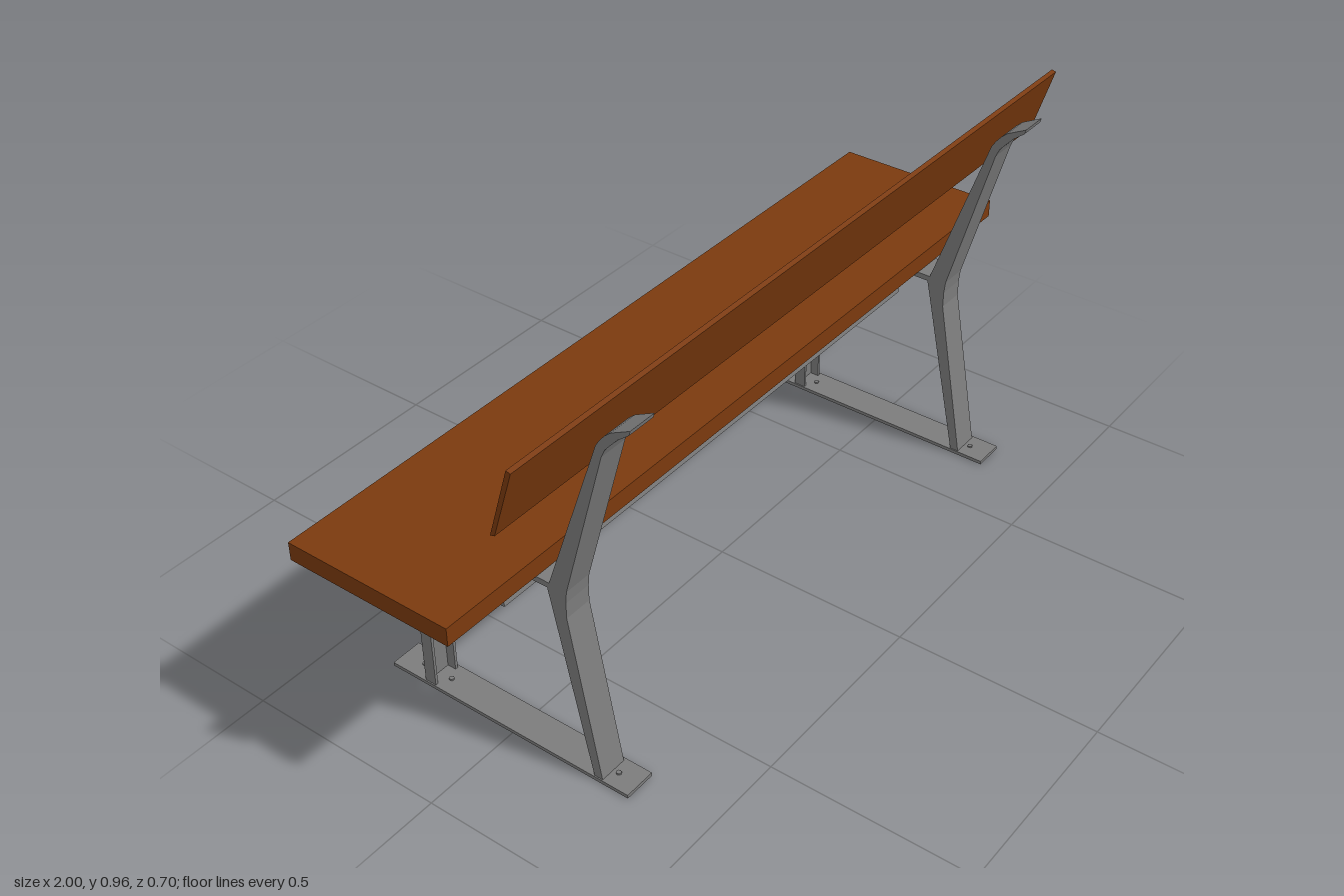
import * as THREE from 'three';

const wood = new THREE.MeshStandardMaterial({ color: 0x7b3a0e });
wood.name = 'brown wood';
const steel = new THREE.MeshStandardMaterial({ color: 0x7c7c7c });
steel.name = 'grey steel';

const WIDTH = 0.07; // width of the leg channels
const WALL = 0.007; // sheet thickness

function add(parent, name, geometry, material) {
  const mesh = new THREE.Mesh(geometry, material);
  mesh.name = name;
  parent.add(mesh);
  return mesh;
}

// Box given by its lower and upper limits on each axis
function box(parent, name, material, [x0, x1], [y0, y1], [z0, z1]) {
  const mesh = add(parent, name, new THREE.BoxGeometry(x1 - x0, y1 - y0, z1 - z0), material);
  mesh.position.set((x0 + x1) / 2, (y0 + y1) / 2, (z0 + z1) / 2);
  return mesh;
}

// Side outline of [z, y] points, extruded from x0 to x1
function sidePlate(parent, name, material, points, x0, x1) {
  const shape = new THREE.Shape(points.map(([z, y]) => new THREE.Vector2(z, y)));
  const geometry = new THREE.ExtrudeGeometry(shape, { depth: x1 - x0, bevelEnabled: false });
  geometry.rotateY(-Math.PI / 2).translate(x1, 0, 0);
  return add(parent, name, geometry, material);
}

// Cross-sections of the bent rear leg: outer z, y and inner z, y
const legSections = [
  [0.247, 0.009, 0.225, 0.009],
  [0.173, 0.415, 0.137, 0.42],
  [0.173, 0.455, 0.126, 0.47],
  [0.176, 0.485, 0.130, 0.483],
  [0.281, 0.865, 0.262, 0.868],
  [0.290, 0.885, 0.268, 0.886],
  [0.307, 0.905, 0.278, 0.902],
  [0.322, 0.922, 0.291, 0.918],
  [0.336, 0.933, 0.306, 0.931],
  [0.349, 0.944, 0.352, 0.955],
];

function rearLeg(parent) {
  const outer = legSections.map(([z, y]) => [z, y]);
  const inner = legSections.map(([, , z, y]) => [z, y]);
  // Back sheet follows the outer edge at a constant thickness
  const sheet = legSections.map(([a, b, c, d]) => {
    const t = Math.min(1, WALL / Math.hypot(c - a, d - b));
    return [a + (c - a) * t, b + (d - b) * t];
  });
  const h = WIDTH / 2;
  sidePlate(parent, 'rearLegBack', steel, [...outer, ...sheet.reverse()], -h + WALL, h - WALL);
  const side = [...outer, ...inner.reverse()];
  sidePlate(parent, 'rearLegSide', steel, side, -h, -h + WALL);
  sidePlate(parent, 'rearLegSide', steel, side, h - WALL, h);
  // Closed tip of the curled end
  sidePlate(parent, 'rearLegTip', steel,
    legSections.slice(5).map(([z, y]) => [z, y])
      .concat(legSections.slice(5).map(([, , z, y]) => [z, y]).reverse()), -h + WALL, h - WALL);
}

function createFrame(x) {
  const frame = new THREE.Group();
  frame.name = 'sideFrame';
  frame.position.x = x;
  const h = WIDTH / 2;

  rearLeg(frame);

  // Front leg channel, open towards the rear
  box(frame, 'frontLegFace', steel, [-h, h], [0.009, 0.473], [-0.255, -0.255 + WALL]);
  // Seat rail channel, open downwards
  box(frame, 'seatRailTop', steel, [-h, h + 0.01], [0.481, 0.486], [-0.30, 0.135]);
  for (const [a, b] of [[-h, -h + WALL], [h - WALL, h]]) {
    box(frame, 'frontLegSide', steel, [a, b], [0.009, 0.473], [-0.255 + WALL, -0.225]);
  }
  for (const [a, b] of [[-h, -h + WALL], [h + 0.01 - WALL, h + 0.01]]) {
    box(frame, 'seatRailSide', steel, [a, b], [0.472, 0.481], [-0.30, 0.135]);
  }

  // Foot plate with flat bolts
  box(frame, 'footPlate', steel, [-h - 0.003, h + 0.007], [0, 0.009], [-0.35, 0.316]);
  for (const z of [0.262, 0.215, -0.21, -0.29]) {
    const bolt = add(frame, 'footBolt', new THREE.CylinderGeometry(0.006, 0.006, 0.004, 8), steel);
    bolt.position.set(0, 0.011, z);
  }

  // Slanted tab carrying the cross bar
  sidePlate(frame, 'crossBarTab', steel,
    [[-0.005, 0.355], [0.005, 0.358], [-0.019, 0.474], [-0.029, 0.474]], -h, h);
  return frame;
}

export function createModel() {
  const bench = new THREE.Group();
  bench.name = 'bench';

  for (const x of [-0.711, 0.70]) bench.add(createFrame(x));

  // Long bar joining the two tabs
  sidePlate(bench, 'crossBar', steel,
    [[-0.005, 0.355], [0.005, 0.358], [-0.003, 0.399], [-0.013, 0.397]], -0.676, 0.665);

  // Seat plank and leaning backrest board
  box(bench, 'seat', wood, [-1, 1], [0.486, 0.531], [-0.328, 0.098]);
  sidePlate(bench, 'backrest', wood,
    [[0.200, 0.786], [0.211, 0.789], [0.262, 0.953], [0.251, 0.956]], -0.965, 0.963);

  return bench;
}
